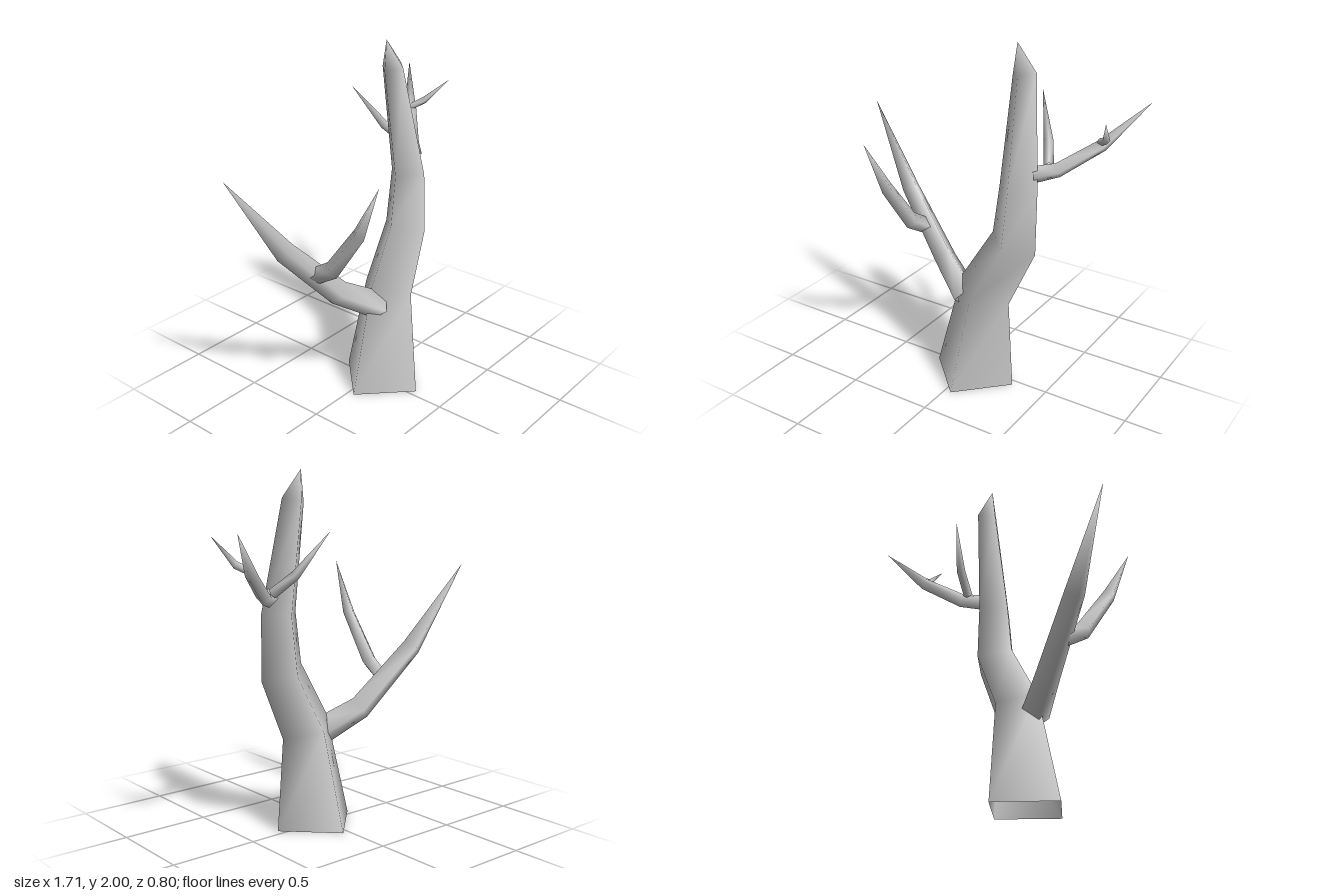
import * as THREE from 'three';

const SIDES = 4;
const UP = new THREE.Vector3(0, 1, 0);
const FRONT = new THREE.Vector3(0, 0, 1);

// Tapered four-sided limb: stations are [x, y, z, radius]; the last one is the pointed tip.
function limbGeometry(stations, ref, startDirection) {
  const points = stations.map(([x, y, z]) => new THREE.Vector3(x, y, z));
  const directions = points.slice(1).map((p, i) => p.clone().sub(points[i]).normalize());
  const last = points.length - 1;
  const positions = [];
  const indices = [];
  for (let i = 0; i < last; i++) {
    const tangent = i === 0
      ? (startDirection || directions[0]).clone()
      : directions[i - 1].clone().add(directions[i]).normalize();
    const side = ref.clone().cross(tangent).normalize();
    const lift = tangent.clone().cross(side);
    for (let k = 0; k < SIDES; k++) {
      const angle = (k / SIDES) * Math.PI * 2;
      const corner = points[i].clone()
        .addScaledVector(side, Math.cos(angle) * stations[i][3])
        .addScaledVector(lift, Math.sin(angle) * stations[i][3]);
      positions.push(...corner.toArray());
      const a = i * SIDES + k;
      const b = i * SIDES + (k + 1) % SIDES;
      if (i < last - 1) indices.push(a, b, b + SIDES, a, b + SIDES, a + SIDES);
      else indices.push(a, b, last * SIDES);
    }
  }
  positions.push(...points[last].toArray());
  const geometry = new THREE.BufferGeometry();
  geometry.setAttribute('position', new THREE.Float32BufferAttribute(positions, 3));
  geometry.setIndex(indices);
  geometry.computeVertexNormals();
  return geometry;
}

export function createModel() {
  const group = new THREE.Group();
  group.name = 'bareTree';
  const bark = new THREE.MeshStandardMaterial({ color: 0xcccccc, side: THREE.DoubleSide });

  function addLimb(name, stations, ref = UP, startDirection) {
    const mesh = new THREE.Mesh(limbGeometry(stations, ref, startDirection), bark);
    mesh.name = name;
    group.add(mesh);
  }

  // Bent trunk with a level, open foot
  addLimb('trunk', [
    [0.04, 0, 0.04, 0.26],
    [0.105, 0.575, 0.035, 0.165],
    [0.28, 0.91, 0.02, 0.14],
    [0.3, 1.24, 0.018, 0.116],
    [0.27, 1.84, -0.075, 0.073],
    [0.22, 2, -0.08],
  ], FRONT, UP);

  // Large low branch and its twig
  addLimb('lowerBranch', [
    [0, 0.51, 0.06, 0.085],
    [-0.23, 0.65, -0.055, 0.072],
    [-0.54, 0.985, -0.155, 0.06],
    [-0.855, 1.46, -0.25],
  ]);
  addLimb('lowerTwig', [
    [-0.385, 0.81, -0.08, 0.047],
    [-0.397, 0.89, 0.05, 0.05],
    [-0.408, 1.16, 0.25, 0.04],
    [-0.435, 1.46, 0.4],
  ]);

  // Slim high branch and its two twigs
  addLimb('upperBranch', [
    [0.37, 1.325, 0, 0.05],
    [0.475, 1.345, -0.09, 0.042],
    [0.655, 1.475, -0.24, 0.036],
    [0.85, 1.7, -0.4],
  ]);
  addLimb('upperBackTwig', [
    [0.42, 1.36, -0.09, 0.028],
    [0.355, 1.46, -0.2, 0.026],
    [0.235, 1.69, -0.34],
  ]);
  addLimb('upperFrontTwig', [
    [0.64, 1.49, -0.235, 0.02],
    [0.705, 1.53, -0.175, 0.02],
    [0.76, 1.67, -0.035],
  ]);

  return group;
}
